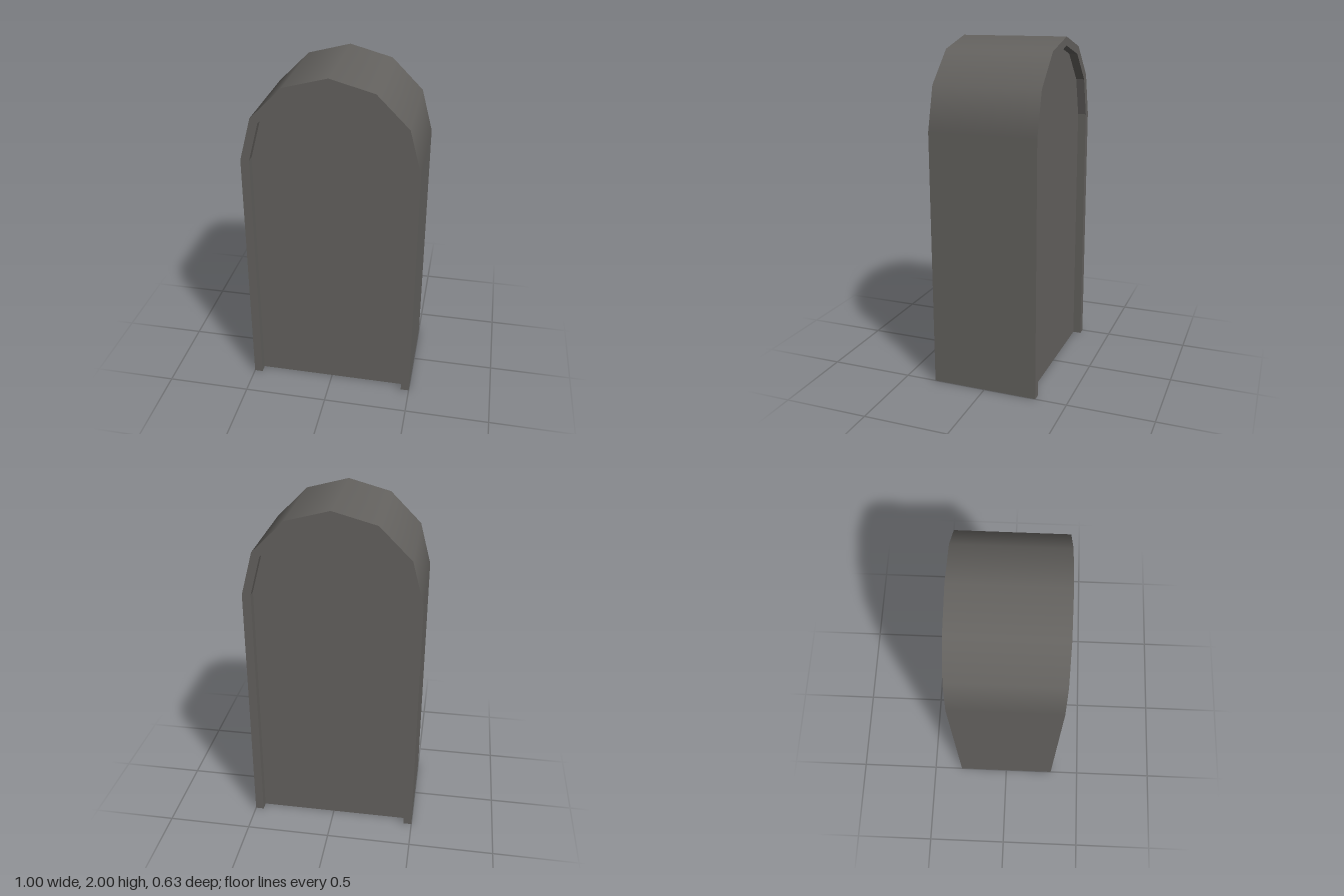
import * as THREE from 'three';

const DEPTH = 0.63, RECESS = 0.05, SPRING = 1.5, OUTER = 0.5, INNER = 0.45, SEGMENTS = 6;

// Outline of an arch, from its right foot over the top to its left foot
function archPoints(radius) {
  const points = [new THREE.Vector2(radius, 0)];
  for (let i = 0; i <= SEGMENTS; i++) {
    const a = (i / SEGMENTS) * Math.PI;
    points.push(new THREE.Vector2(radius * Math.cos(a), SPRING + radius * Math.sin(a)));
  }
  points.push(new THREE.Vector2(-radius, 0));
  return points;
}

export function createModel() {
  const group = new THREE.Group();
  group.name = 'archedBlock';
  const stone = new THREE.MeshStandardMaterial({ color: 0x64625f, side: THREE.DoubleSide });
  stone.name = 'dark grey stone';

  // Arched shell, open at the bottom
  const outline = new THREE.Shape([...archPoints(OUTER), ...archPoints(INNER).reverse()]);
  const shellGeometry = new THREE.ExtrudeGeometry(outline, { depth: DEPTH, bevelEnabled: false });
  shellGeometry.translate(0, 0, -DEPTH / 2);

  // Smooth normals over the outside of the vault
  const pos = shellGeometry.attributes.position, nor = shellGeometry.attributes.normal;
  for (let i = 0; i < pos.count; i++) {
    const x = pos.getX(i), y = pos.getY(i) - SPRING;
    const onVault = y > -0.001 && Math.abs(Math.hypot(x, y) - OUTER) < 0.001;
    if (onVault && Math.abs(nor.getZ(i)) < 0.5) nor.setXYZ(i, x / OUTER, y / OUTER, 0);
  }
  const shell = new THREE.Mesh(shellGeometry, stone);
  shell.name = 'archedShell';
  group.add(shell);

  // Recessed sheets closing the front and the back
  const panelGeometry = new THREE.ShapeGeometry(new THREE.Shape(archPoints(INNER)));
  for (const [name, side] of [['frontPanel', 1], ['backPanel', -1]]) {
    const panel = new THREE.Mesh(panelGeometry, stone);
    panel.name = name;
    panel.position.z = side * (DEPTH / 2 - RECESS);
    if (side < 0) panel.rotation.y = Math.PI;
    group.add(panel);
  }
  return group;
}
